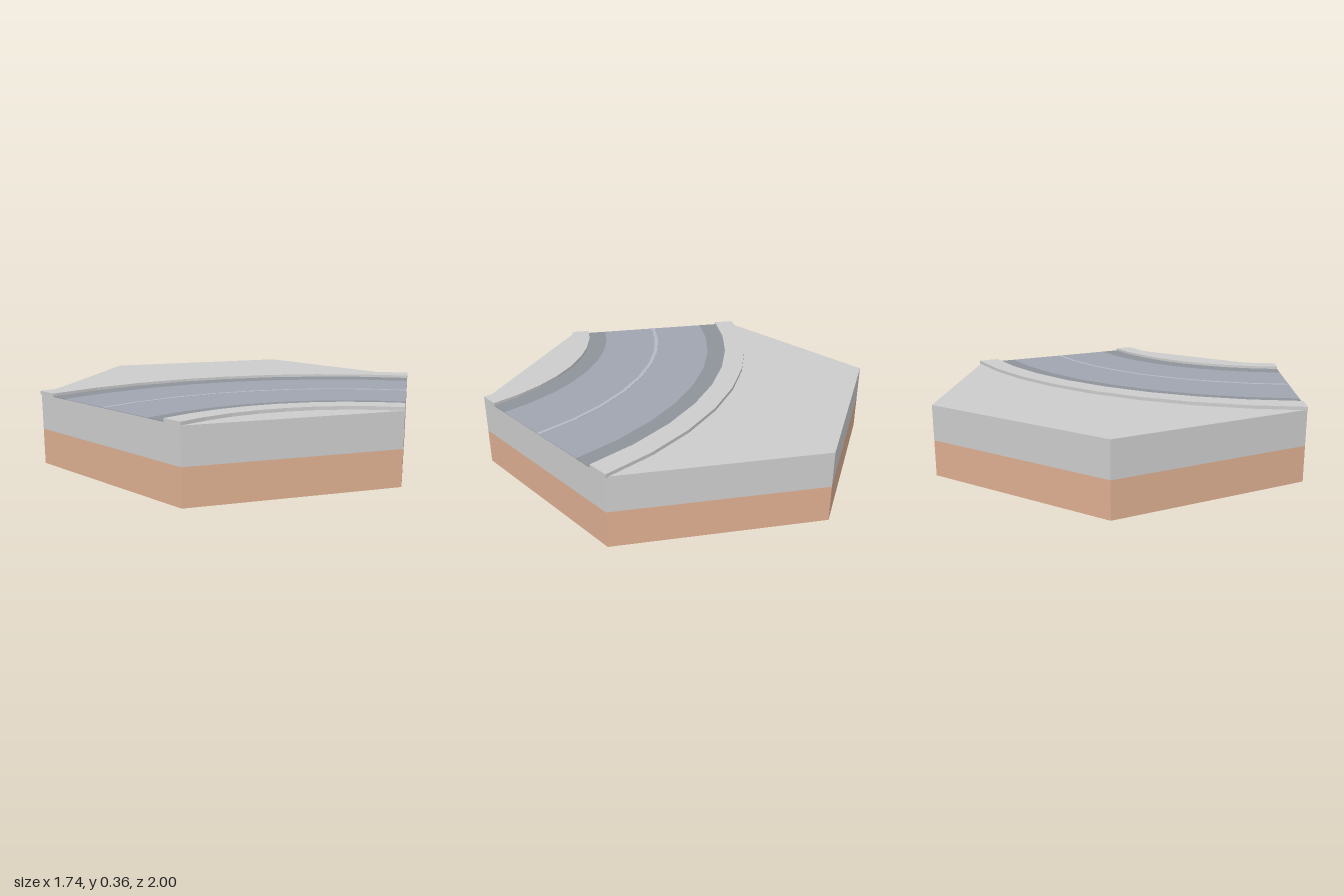
import * as THREE from 'three';

const SHIFT = -0.004;           // the kerb tip overhangs the tile a little
const TILE_TOP = 0.347;
const SEGMENTS = 8;
const CENTRE = { x: -0.866, z: 1.5 }; // centre of the road bend

const material = (color) => new THREE.MeshStandardMaterial({ color, flatShading: true });

// Slab following the 60 degree bend between two radii
function bendSlab(name, inner, outer, bottom, top, mat) {
  const points = [];
  const addArc = (radius, reverse) => {
    for (let i = 0; i <= SEGMENTS; i++) {
      const t = (reverse ? SEGMENTS - i : i) / SEGMENTS;
      const a = Math.PI / 2 - t * Math.PI / 3;
      points.push(new THREE.Vector2(CENTRE.x + radius * Math.cos(a), -CENTRE.z + radius * Math.sin(a)));
    }
  };
  addArc(outer, false);
  addArc(inner, true);
  const geometry = new THREE.ExtrudeGeometry(new THREE.Shape(points), { depth: top - bottom, bevelEnabled: false });
  geometry.rotateX(-Math.PI / 2).translate(0, bottom, 0);
  const mesh = new THREE.Mesh(geometry, mat);
  mesh.name = name;
  return mesh;
}

// Hexagonal layer with corners pointing along z
function hexLayer(name, bottom, top, mat, openEnded = false) {
  const geometry = new THREE.CylinderGeometry(1, 1, top - bottom, 6, 1, openEnded);
  geometry.translate(0, (bottom + top) / 2, 0);
  const mesh = new THREE.Mesh(geometry, mat);
  mesh.name = name;
  return mesh;
}

export function createModel() {
  const stone = material(0xcccccc);
  const earth = material(0xdcae90);
  const asphalt = material(0x9fa5b0);
  const gutter = material(0x8e929a);
  const paint = material(0xb4b8c6);

  const group = new THREE.Group();
  group.name = 'curvedRoadTile';

  // Tile body
  group.add(hexLayer('earthLayer', 0, 0.175, earth));
  group.add(hexLayer('stoneLayer', 0.175, TILE_TOP, stone));

  // Road surface with darker edges and a centre line
  const roadTop = TILE_TOP + 0.003;
  group.add(bendSlab('road', 1.2, 1.8, TILE_TOP, roadTop, asphalt));
  group.add(bendSlab('innerGutter', 1.1, 1.2, TILE_TOP, roadTop, gutter));
  group.add(bendSlab('outerGutter', 1.8, 1.9, TILE_TOP, roadTop, gutter));
  group.add(bendSlab('centreLine', 1.49, 1.51, TILE_TOP, roadTop + 0.0015, paint));

  // Raised kerbs
  group.add(bendSlab('innerKerb', 1.0, 1.1, TILE_TOP - 0.002, 0.363, stone));
  group.add(bendSlab('outerKerb', 1.9, 2.01, TILE_TOP - 0.002, 0.363, stone));

  group.children.forEach((part) => { part.position.x = SHIFT; });
  return group;
}
